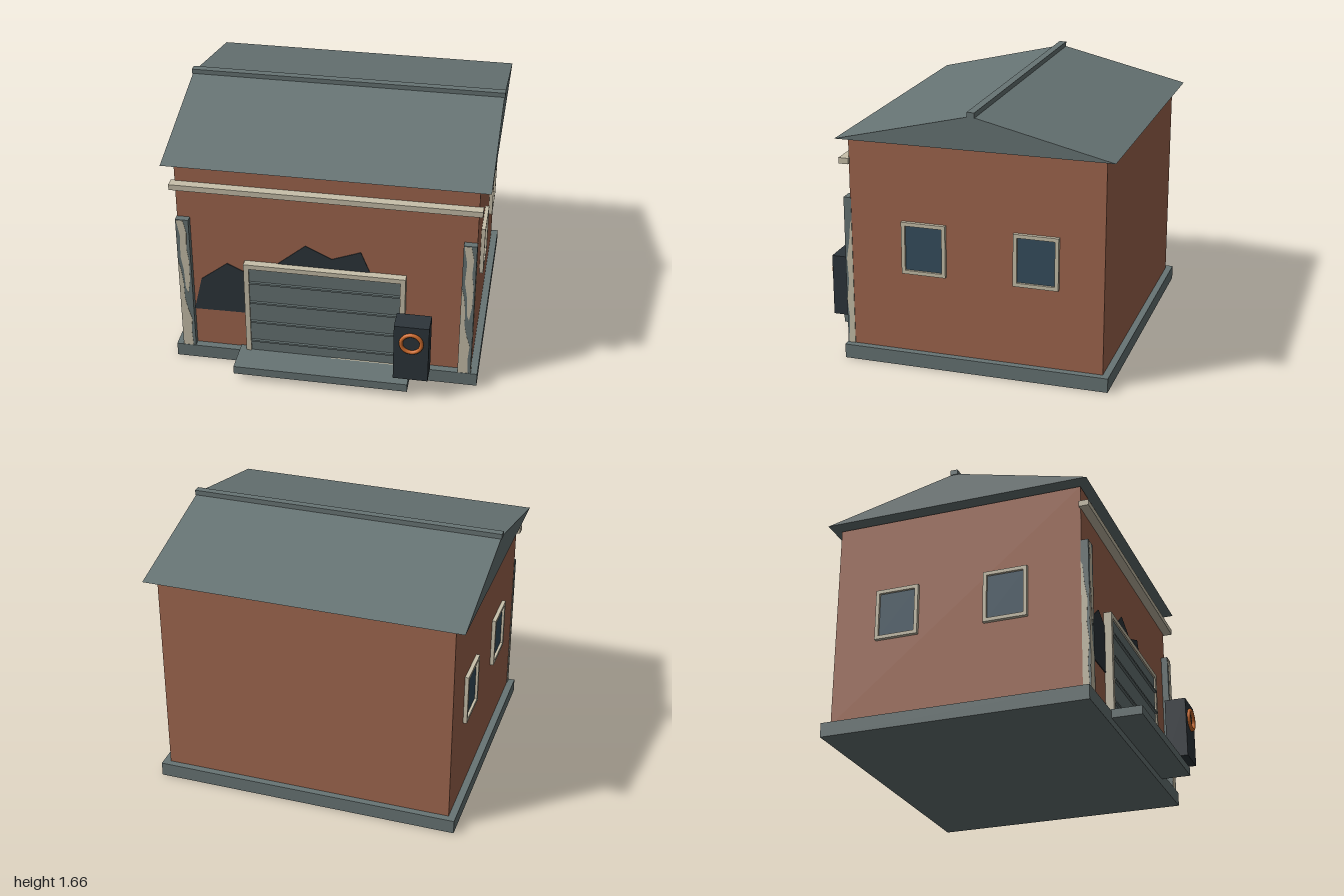
import * as THREE from 'three';

const mat = (name, color) => {
  const m = new THREE.MeshStandardMaterial({ color });
  m.name = name;
  return m;
};

export function createModel() {
  const brick = mat('brick', 0xa0674f);
  const slate = mat('slate grey', 0x677474);
  const cream = mat('cream trim', 0xc8c0aa);
  const dark = mat('charcoal', 0x2d353b);
  const glass = mat('window glass', 0x364f5e);
  const orange = mat('orange', 0xcc6a2c);

  const model = new THREE.Group();
  model.name = 'garage';

  const add = (name, geometry, material, parent = model) => {
    const mesh = new THREE.Mesh(geometry, material);
    mesh.name = name;
    parent.add(mesh);
    return mesh;
  };

  // Box given by its limits on each axis
  const box = (name, material, [x0, x1], [y0, y1], [z0, z1], parent) => {
    const mesh = add(name, new THREE.BoxGeometry(x1 - x0, y1 - y0, z1 - z0), material, parent);
    mesh.position.set((x0 + x1) / 2, (y0 + y1) / 2, (z0 + z1) / 2);
    return mesh;
  };

  // Flat plate cut from a polygon, facing +z
  const plate = (name, material, points, depth, parent) => {
    const shape = new THREE.Shape(points.map(([x, y]) => new THREE.Vector2(x, y)));
    return add(name, new THREE.ExtrudeGeometry(shape, { depth, bevelEnabled: false }), material, parent);
  };

  // Rectangular frame with an opening, standing on the xy plane
  const frame = (name, w, h, border, bottomBorder, depth, parent) => {
    const shape = new THREE.Shape([
      new THREE.Vector2(-w / 2, 0), new THREE.Vector2(w / 2, 0),
      new THREE.Vector2(w / 2, h), new THREE.Vector2(-w / 2, h)]);
    const a = w / 2 - border;
    shape.holes.push(new THREE.Path([
      new THREE.Vector2(-a, bottomBorder), new THREE.Vector2(-a, h - border),
      new THREE.Vector2(a, h - border), new THREE.Vector2(a, bottomBorder)]));
    return add(name, new THREE.ExtrudeGeometry(shape, { depth, bevelEnabled: false }), cream, parent);
  };

  // Base, walls and front step
  box('foundation', slate, [-0.972, 0.972], [0, 0.09], [-0.942, 0.742]);
  box('walls', brick, [-0.927, 0.927], [0.09, 1.415], [-0.9, 0.695]);
  box('frontStep', slate, [-0.555, 0.552], [0.045, 0.1], [0.7, 0.93]);
  box('frontCornice', cream, [-0.952, 0.952], [1.263, 1.3], [0.69, 0.752]);

  // Gabled roof with ridge cap, floating just above the walls
  const roof = plate('roof', slate, [[-0.755, 1.43], [0.965, 1.43], [0.1, 1.635]], 1.99);
  roof.rotation.y = Math.PI / 2;
  roof.position.x = -0.995;
  box('ridgeCap', slate, [-1, 1], [1.628, 1.66], [-0.128, -0.08]);

  // Corner pilasters with worn paint
  const patches = [
    [[0.005, 1.04], [0.048, 1.04], [0.066, 0.95], [0.06, 0.84], [0.072, 0.75], [0.07, 0.6],
      [0.055, 0.5], [0.04, 0.54], [0.034, 0.68], [0.018, 0.78], [0.026, 0.92]],
    [[0.001, 0.09], [0.066, 0.09], [0.06, 0.2], [0.068, 0.3], [0.045, 0.38], [0.03, 0.46],
      [0.028, 0.58], [0.016, 0.68], [0.001, 0.74]],
  ];
  const sidePatch = [[0.69, 0.09], [0.732, 0.09], [0.722, 0.25], [0.734, 0.38], [0.72, 0.5],
    [0.728, 0.65], [0.71, 0.76], [0.7, 0.88], [0.69, 0.9]];
  for (const [side, x0] of [['right', -0.929], ['left', 0.847]]) {
    const pilaster = new THREE.Group();
    pilaster.name = side + 'Pilaster';
    model.add(pilaster);
    box('pilasterCore', slate, [x0, x0 + 0.082], [0.09, 1.045], [0.69, 0.738], pilaster);
    patches.forEach((points) => {
      plate('wornPaint', cream, points, 0.004, pilaster).position.set(x0, 0, 0.736);
    });
    const outer = plate('wornPaintSide', cream, sidePatch.map(([z, y]) => [-z, y]), 0.004, pilaster);
    outer.rotation.y = Math.PI / 2;
    outer.position.x = side === 'left' ? 0.927 : -0.931;
  }

  // Garage door with ribs and frame
  const door = new THREE.Group();
  door.name = 'garageDoor';
  model.add(door);
  const doorFrame = frame('doorFrame', 1.015, 0.67, 0.032, 0.01, 0.055, door);
  doorFrame.position.set(-0.003, 0.09, 0.69);
  box('doorPanel', slate, [-0.483, 0.48], [0.1, 0.728], [0.69, 0.735], door);
  for (let i = 0; i < 4; i++) {
    const y = 0.18 + i * 0.149;
    box('doorRib', slate, [-0.475, 0.472], [y - 0.006, y + 0.006], [0.73, 0.751], door);
  }

  // Dark damage patches on the front wall
  plate('sidePatch', dark, [[-0.85, 0.355], [-0.48, 0.36], [-0.45, 0.63], [-0.51, 0.67],
    [-0.625, 0.725], [-0.795, 0.59]], 0.006).position.z = 0.694;
  plate('upperPatch', dark, [[-0.32, 0.74], [0.285, 0.74], [0.22, 0.9], [0.04, 0.83],
    [-0.125, 0.91], [-0.295, 0.765]], 0.006).position.z = 0.694;

  // Two windows on each side wall
  for (const s of [-1, 1]) {
    for (const z of [0.22, -0.485]) {
      const win = new THREE.Group();
      win.name = 'sideWindow';
      win.position.set(s * 0.925, 0.6, z);
      win.rotation.y = s * Math.PI / 2;
      model.add(win);
      frame('windowFrame', 0.28, 0.33, 0.023, 0.023, 0.026, win);
      box('windowGlass', glass, [-0.12, 0.12], [0.02, 0.31], [0, 0.01], win);
    }
  }

  // Wall unit with a ring on its face
  box('controlBox', dark, [0.463, 0.68], [0.155, 0.553], [0.805, 0.942]);
  const ring = add('controlRing', new THREE.TorusGeometry(0.064, 0.0125, 10, 32), orange);
  ring.position.set(0.573, 0.437, 0.95);

  return model;
}
